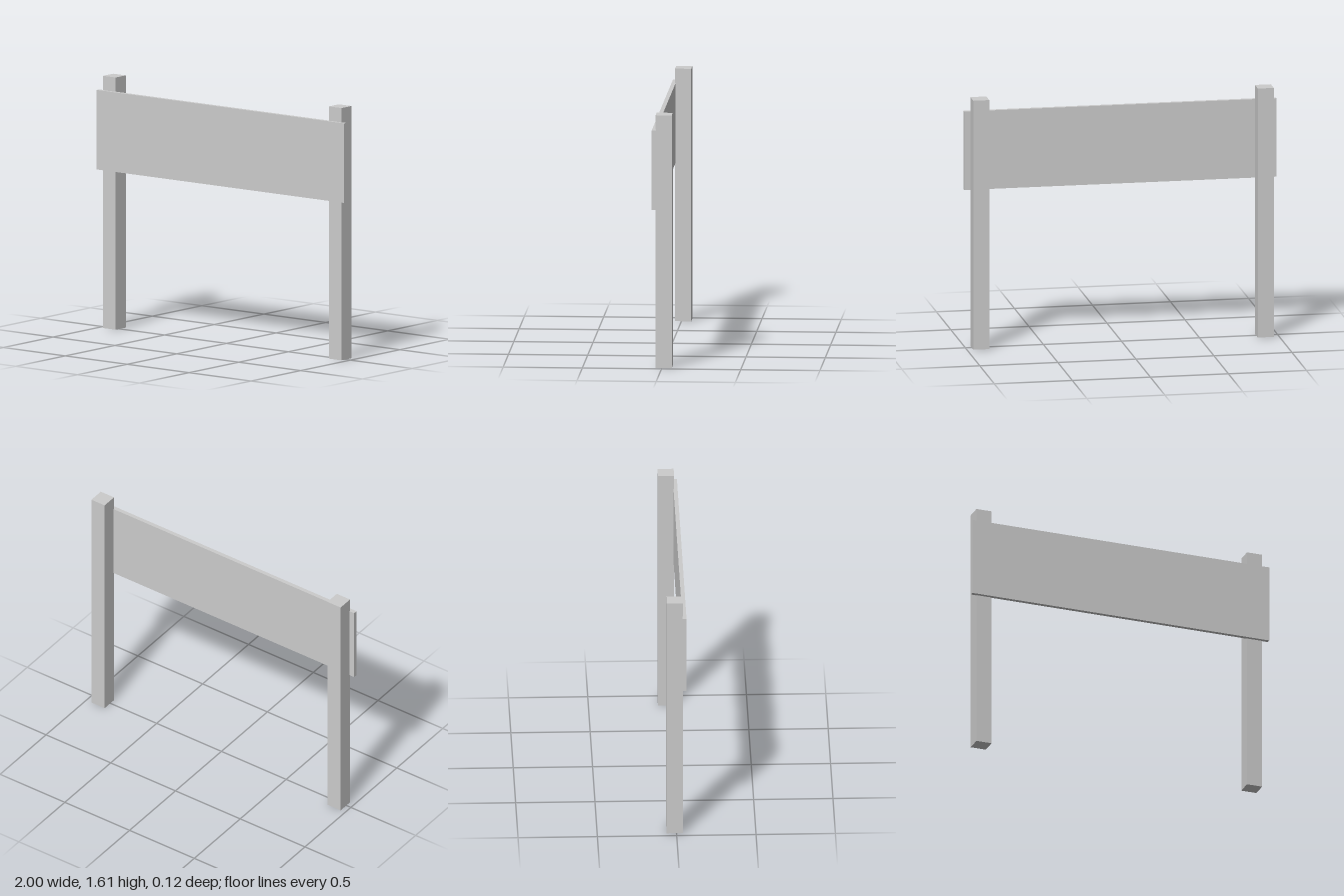
import * as THREE from 'three';

export function createModel() {
  const model = new THREE.Group();
  const material = new THREE.MeshStandardMaterial({ color: 0xcccccc, flatShading: true });

  // Adds a box spanning the given size, with its underside at y = bottom
  const addBox = (name, [w, h, d], x, bottom, z) => {
    const mesh = new THREE.Mesh(new THREE.BoxGeometry(w, h, d), material);
    mesh.name = name;
    mesh.position.set(x, bottom + h / 2, z);
    model.add(mesh);
  };

  // Square posts, set very slightly off centre
  const postSize = [0.102, 1.612, 0.102];
  addBox('leftPost', postSize, 0.909, 0, -0.011);
  addBox('rightPost', postSize, -0.914, 0, -0.011);

  // Sign board, let slightly into the front of the posts
  addBox('signBoard', [2, 0.508, 0.026], 0, 1.013, 0.049);

  return model;
}
